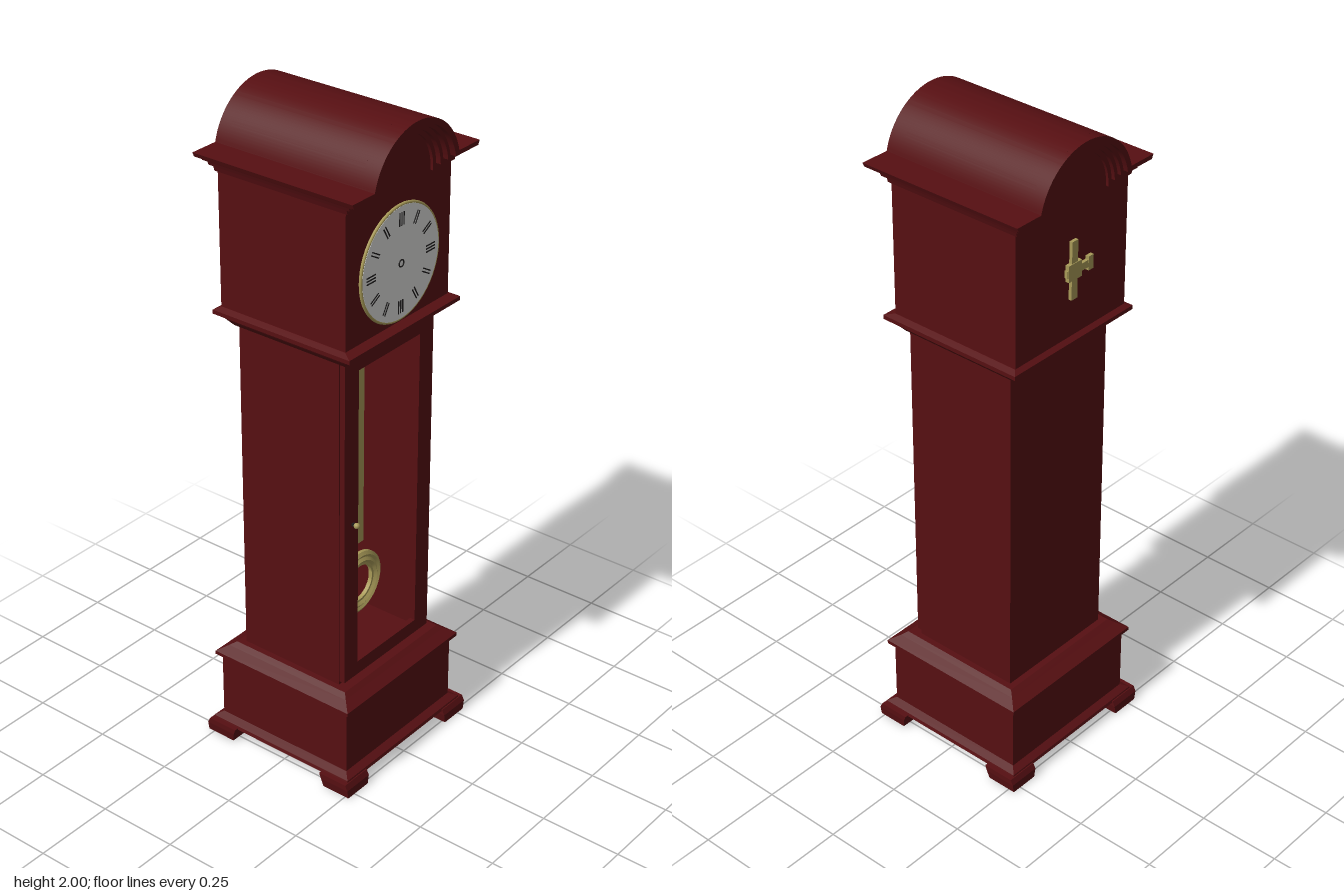
import * as THREE from 'three';
import { toCreasedNormals } from 'three/addons/utils/BufferGeometryUtils.js';

const material = (name, color, side = THREE.FrontSide) => {
  const m = new THREE.MeshStandardMaterial({ color, side });
  m.name = name;
  return m;
};

export function createModel() {
  const clock = new THREE.Group();
  clock.name = 'longcaseClock';
  const wood = material('mahogany', 0x560f12);
  const brass = material('brass', 0xa89a58);
  const white = material('dialWhite', 0xdcdcda);
  const black = material('black', 0x1c1a1a);

  const add = (name, geo, mat, x = 0, y = 0, z = 0, parent = clock) => {
    const mesh = new THREE.Mesh(geo, mat);
    mesh.name = name;
    mesh.position.set(x, y, z);
    parent.add(mesh);
    return mesh;
  };
  const box = (name, mat, x0, x1, y0, y1, z0, z1) =>
    add(name, new THREE.BoxGeometry(x1 - x0, y1 - y0, z1 - z0), mat,
      (x0 + x1) / 2, (y0 + y1) / 2, (z0 + z1) / 2);

  // Stack of rectangular rings [y, x0, x1, half depth], closed at both ends
  const tiers = (name, rings) => {
    const pos = [];
    const corners = rings.map(([y, x0, x1, h]) =>
      [[x0, y, -h], [x0, y, h], [x1, y, h], [x1, y, -h]]);
    const quad = (a, b, c, d) => pos.push(...a, ...b, ...c, ...a, ...c, ...d);
    for (let i = 0; i + 1 < corners.length; i++) {
      for (let j = 0; j < 4; j++) {
        const k = (j + 1) % 4;
        quad(corners[i][j], corners[i][k], corners[i + 1][k], corners[i + 1][j]);
      }
    }
    const low = corners[0], top = corners[corners.length - 1];
    quad(...top);
    quad(low[3], low[2], low[1], low[0]);
    const geo = new THREE.BufferGeometry();
    geo.setAttribute('position', new THREE.Float32BufferAttribute(pos, 3));
    geo.computeVertexNormals();
    return add(name, geo, wood);
  };

  // Shape drawn across the width and pushed along x
  const extrudeX = (name, shape, x0, x1, mat = wood) => {
    const geo = new THREE.ExtrudeGeometry(shape, { depth: x1 - x0, bevelEnabled: false, curveSegments: 28 });
    geo.rotateY(Math.PI / 2);
    return add(name, toCreasedNormals(geo, 0.5), mat, x0);
  };
  const rect = (w, y0, y1, Type = THREE.Shape) => {
    const s = new Type();
    s.moveTo(-w, y0); s.lineTo(w, y0); s.lineTo(w, y1); s.lineTo(-w, y1); s.closePath();
    return s;
  };

  // Feet
  for (const sx of [-1, 1]) for (const sz of [-1, 1]) {
    const outer = sx < 0 ? -0.27 : 0.262;
    const inner = sx < 0 ? -0.175 : 0.17;
    const foot = tiers('foot', [
      [0, Math.min(outer, inner), Math.max(outer, inner), 0.045],
      [0.028, Math.min(outer, inner - sx * 0.006), Math.max(outer, inner - sx * 0.006), 0.05],
      [0.045, Math.min(outer - sx * 0.008, inner - sx * 0.012), Math.max(outer - sx * 0.008, inner - sx * 0.012), 0.05]]);
    foot.position.z = sz * 0.233;
  }

  // Plinth with skirt and sloping top moulding
  tiers('plinth', [
    [0.04, -0.26, 0.252, 0.27], [0.05, -0.258, 0.25, 0.267], [0.062, -0.238, 0.228, 0.245],
    [0.262, -0.238, 0.228, 0.245], [0.27, -0.252, 0.244, 0.26], [0.281, -0.252, 0.244, 0.26],
    [0.3, -0.222, 0.215, 0.232], [0.312, -0.205, 0.2, 0.217]]);

  // Trunk: two side walls and an outward facing back panel
  for (const s of [-1, 1]) {
    box('trunkSide', wood, -0.185, 0.163, 0.31, 1.37, s * 0.188 - 0.01, s * 0.188 + 0.01);
  }
  const back = add('trunkBack', new THREE.PlaneGeometry(0.396, 1.06), wood, -0.185, 0.84, 0);
  back.rotation.y = -Math.PI / 2;

  // Glazed door frame
  const door = rect(0.195, 0.322, 1.358);
  door.holes.push(rect(0.135, 0.365, 1.31, THREE.Path));
  extrudeX('doorFrame', door, 0.163, 0.18);
  add('doorKnob', new THREE.SphereGeometry(0.009, 12, 8), brass, 0.195, 0.84, 0.16);
  box('doorKnobStem', black, 0.178, 0.192, 0.836, 0.844, 0.156, 0.164);

  // Pendulum
  const pendulum = new THREE.Group();
  pendulum.name = 'pendulum';
  pendulum.position.x = 0.075;
  clock.add(pendulum);
  add('pendulumRod', new THREE.BoxGeometry(0.008, 0.58, 0.036), brass, 0, 0.95, 0, pendulum);
  const tip = add('pendulumTip', new THREE.ConeGeometry(0.02, 0.07, 12), white, 0, 1.275, 0, pendulum);
  tip.scale.x = 0.4;
  const ringProfile = [[0.057, -0.006], [0.1, -0.006], [0.1, 0.004], [0.09, 0.01], [0.082, 0.006],
    [0.073, 0.012], [0.064, 0.006], [0.057, 0.006], [0.057, -0.006]];
  const bob = new THREE.LatheGeometry(ringProfile.map(p => new THREE.Vector2(...p)), 40);
  bob.rotateZ(-Math.PI / 2);
  add('pendulumBob', toCreasedNormals(bob, 0.5), brass, 0, 0.523, 0, pendulum);

  // Moulding under the hood
  tiers('hoodMoulding', [
    [1.352, -0.195, 0.188, 0.205], [1.368, -0.21, 0.2, 0.218], [1.38, -0.222, 0.213, 0.226],
    [1.388, -0.24, 0.233, 0.243], [1.4, -0.24, 0.233, 0.243], [1.408, -0.225, 0.205, 0.225]]);

  // Hood with arched top
  const archY = 1.815;
  const hood = new THREE.Shape();
  hood.moveTo(-0.224, 1.4);
  hood.lineTo(0.224, 1.4);
  hood.lineTo(0.224, 1.83);
  hood.lineTo(0.16, 1.83);
  hood.absarc(0, archY, 0.16, 0.1, Math.PI - 0.1, false);
  hood.lineTo(-0.224, 1.83);
  hood.closePath();
  extrudeX('hood', hood, -0.225, 0.205);

  // Stepped cornice that follows the arch: [half width, bottom, top, inner radius, x0, x1]
  const outerR = 0.185;
  [[0.234, 1.805, 1.825, 0.132, -0.233, 0.214],
    [0.244, 1.822, 1.838, 0.145, -0.244, 0.229],
    [0.255, 1.836, 1.848, 0.157, -0.256, 0.245],
    [0.27, 1.847, 1.86, 0.168, -0.271, 0.263]].forEach(([w, yb, yt, r, x0, x1]) => {
    const a = Math.asin((yt - archY) / outerR);
    const b = Math.asin(Math.max(0, yb - archY) / r);
    const s = new THREE.Shape();
    s.moveTo(w - 0.006, yb);
    s.lineTo(w, yt);
    s.absarc(0, archY, outerR, a, Math.PI - a, false);
    s.lineTo(-w, yt);
    s.lineTo(-w + 0.006, yb);
    s.lineTo(-r * Math.cos(b), yb);
    s.absarc(0, archY, r, Math.PI - b, b, true);
    s.lineTo(r * Math.cos(b), yb);
    s.closePath();
    extrudeX('archedCornice', s, x0, x1);
  });

  // Dial with brass rim and hour strokes
  const dial = new THREE.Group();
  dial.name = 'dial';
  dial.position.set(0.205, 1.585, 0);
  dial.rotation.y = Math.PI / 2;
  clock.add(dial);
  const disc = new THREE.CylinderGeometry(0.164, 0.164, 0.008, 56);
  disc.rotateX(Math.PI / 2);
  add('dialFace', disc, white, 0, 0, 0.004, dial);
  add('dialRim', new THREE.TorusGeometry(0.166, 0.005, 8, 56), brass, 0, 0, 0.003, dial);
  for (let h = 0; h < 12; h++) {
    const mark = new THREE.Group();
    mark.name = 'hourMark';
    mark.rotation.z = -h * Math.PI / 6;
    dial.add(mark);
    const n = h % 3 === 0 ? 3 : 2;
    for (let i = 0; i < n; i++) {
      add('hourStroke', new THREE.BoxGeometry(0.0035, 0.038, 0.002), black,
        (i - (n - 1) / 2) * 0.009, 0.128, 0.0085, mark);
    }
  }
  add('dialHub', new THREE.TorusGeometry(0.01, 0.002, 6, 20), black, 0, 0, 0.009, dial);

  // Brass fitting on the back of the hood
  box('backFittingBar', brass, -0.235, -0.224, 1.525, 1.7, -0.012, 0.012);
  box('backFittingCollar', brass, -0.237, -0.224, 1.585, 1.635, -0.026, 0.026);
  box('backFittingArm', brass, -0.235, -0.224, 1.598, 1.62, -0.03, 0.07);
  box('backFittingEnd', brass, -0.236, -0.224, 1.588, 1.63, 0.055, 0.075);

  return clock;
}
